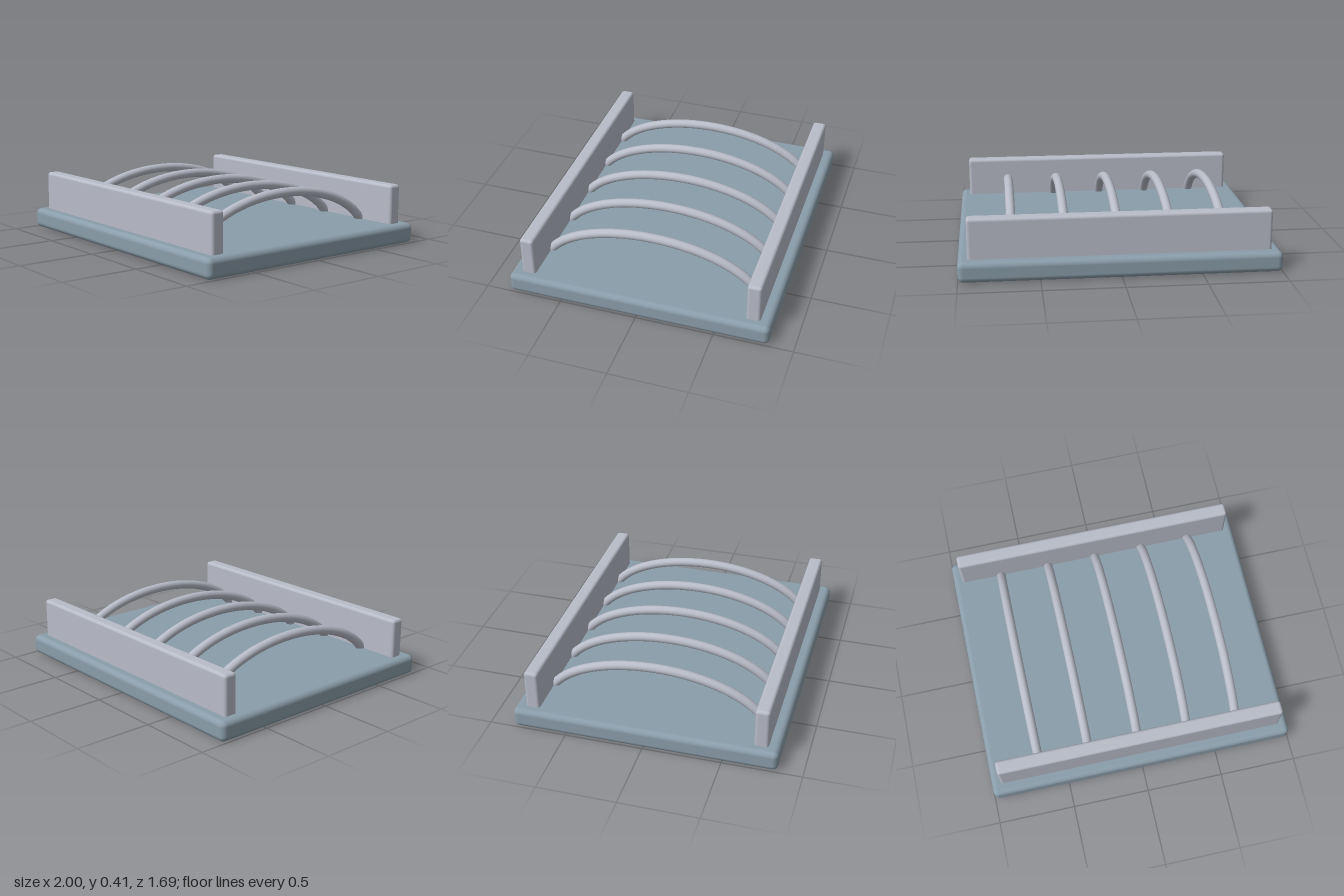
import * as THREE from 'three';
import { RoundedBoxGeometry } from 'three/addons/geometries/RoundedBoxGeometry.js';

export function createModel() {
  const model = new THREE.Group();
  const baseMaterial = new THREE.MeshStandardMaterial({ color: 0x8a9daa });
  const metalMaterial = new THREE.MeshStandardMaterial({ color: 0xb8bcc8 });

  const add = (name, geometry, material, x, y, z) => {
    const mesh = new THREE.Mesh(geometry, material);
    mesh.name = name;
    mesh.position.set(x, y, z);
    model.add(mesh);
  };

  // Rounded base plate
  add('basePlate', new RoundedBoxGeometry(2, 0.13, 1.69, 5, 0.035), baseMaterial, 0, 0.065, 0);

  // Upright rails along the front and back
  const railGeometry = new RoundedBoxGeometry(1.88, 0.285, 0.09, 4, 0.02);
  add('frontRail', railGeometry, metalMaterial, 0, 0.2425, 0.73);
  add('backRail', railGeometry, metalMaterial, 0, 0.2425, -0.73);

  // Arched rods: an elliptical arc whose ends sink into the base and rails
  const arc = [];
  const steps = 24;
  const startAngle = 0.22;
  for (let i = 0; i <= steps; i++) {
    const a = startAngle + (Math.PI - 2 * startAngle) * (i / steps);
    arc.push(new THREE.Vector3(0, 0.375 * Math.sin(a), 0.73 * Math.cos(a)));
  }
  const rodGeometry = new THREE.TubeGeometry(new THREE.CatmullRomCurve3(arc), 64, 0.03, 16);
  for (let i = -2; i <= 2; i++) {
    add(`archedRod${i + 3}`, rodGeometry, metalMaterial, i / 3, 0, 0);
  }

  return model;
}
